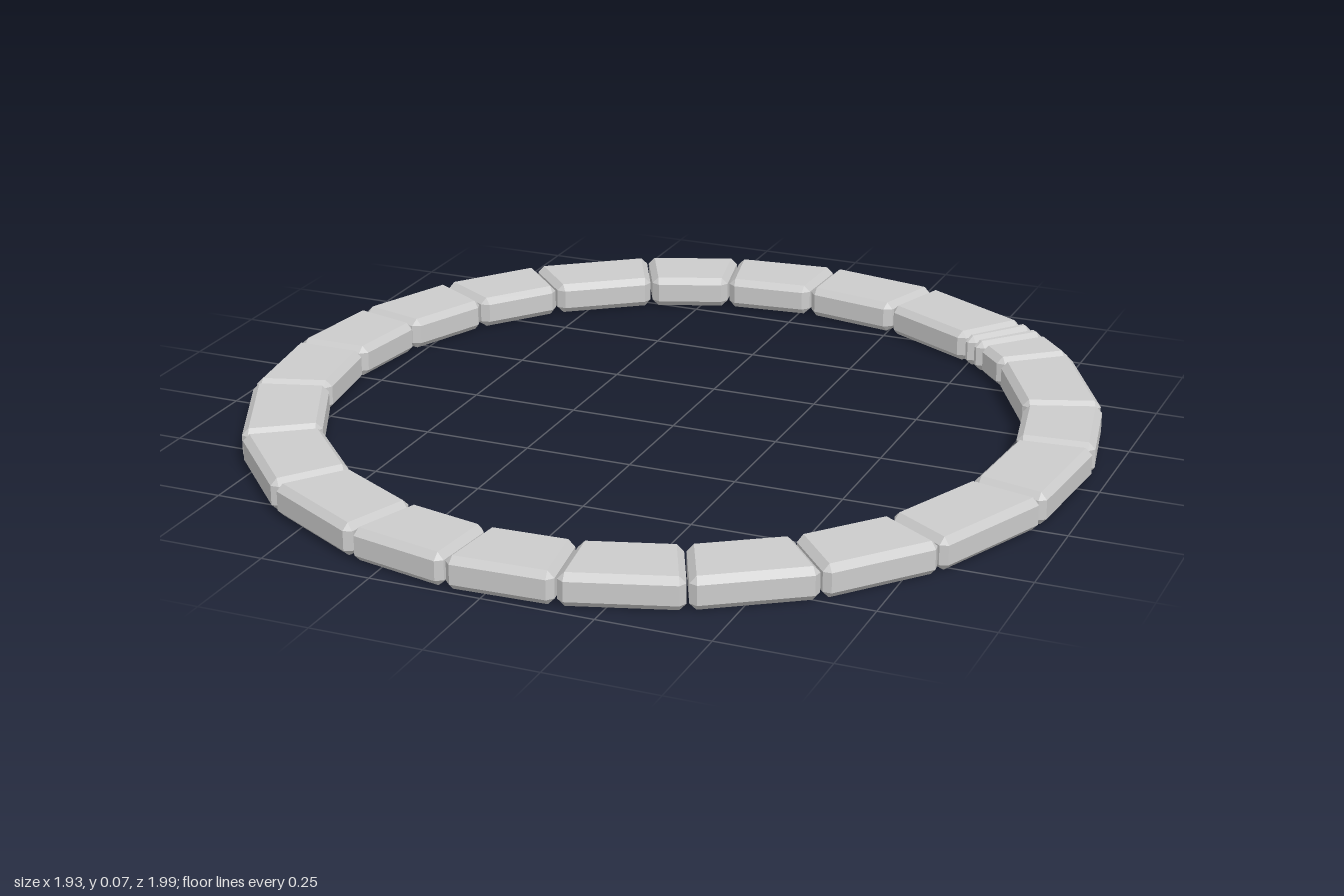
import * as THREE from 'three';
import { ConvexGeometry } from 'three/addons/geometries/ConvexGeometry.js';

const HEIGHT = 0.074, CHAMFER = 0.015, GAP = 0.005;

// Joint angles in degrees, from +x towards +z
const JOINTS = [
  -53, -50.3, -47.4, -39.3, -19.7, -4.5, 14.1, 33.3, 49.6, 65.6, 81, 95.1, 109.4,
  126.6, 144.3, 163, 179.7, 195.4, 211.2, 226.3, 243.5, 257.1, 272, 288.5, 307,
];

// Point on a slightly oval outline at a given angle
function onOval(deg, rx, rz) {
  const a = THREE.MathUtils.degToRad(deg);
  const c = Math.cos(a), s = Math.sin(a);
  const r = 1 / Math.hypot(c / rx, s / rz);
  return new THREE.Vector3(c * r, 0, s * r);
}

// Tapered block between two joints, all edges chamfered
function stoneGeometry(a0, a1) {
  const inner = [a0, a1].map((a) => onOval(a, 0.793, 0.813));
  const outer = [a0, a1].map((a) => onOval(a, 0.969, 0.999));
  const depth = inner[0].distanceTo(outer[0]);
  const points = [];
  for (const end of [0, 1]) for (const side of [0, 1]) for (const top of [0, 1]) {
    // each corner becomes three points, one on each face that meets there
    for (let face = 0; face < 3; face++) {
      const inset = (axis) => (axis === face ? 0 : CHAMFER);
      const v = Math.abs(side - inset(1) / depth);
      const p0 = inner[0].clone().lerp(outer[0], v);
      const p1 = inner[1].clone().lerp(outer[1], v);
      const width = p0.distanceTo(p1);
      const endInset = GAP / 2 + Math.min(inset(0), width * 0.33);
      const p = p0.lerp(p1, Math.abs(end - endInset / width));
      p.y = Math.abs(top * HEIGHT - inset(2));
      points.push(p);
    }
  }
  return new ConvexGeometry(points);
}

export function createModel() {
  const ring = new THREE.Group();
  ring.name = 'stoneRing';
  const material = new THREE.MeshStandardMaterial({ color: 0xcccccc, flatShading: true });
  for (let i = 0; i < JOINTS.length - 1; i++) {
    const stone = new THREE.Mesh(stoneGeometry(JOINTS[i], JOINTS[i + 1]), material);
    // the first two are thin slivers that close the ring
    stone.name = i < 2 ? `sliver${i + 1}` : `stone${i - 1}`;
    ring.add(stone);
  }
  return ring;
}
